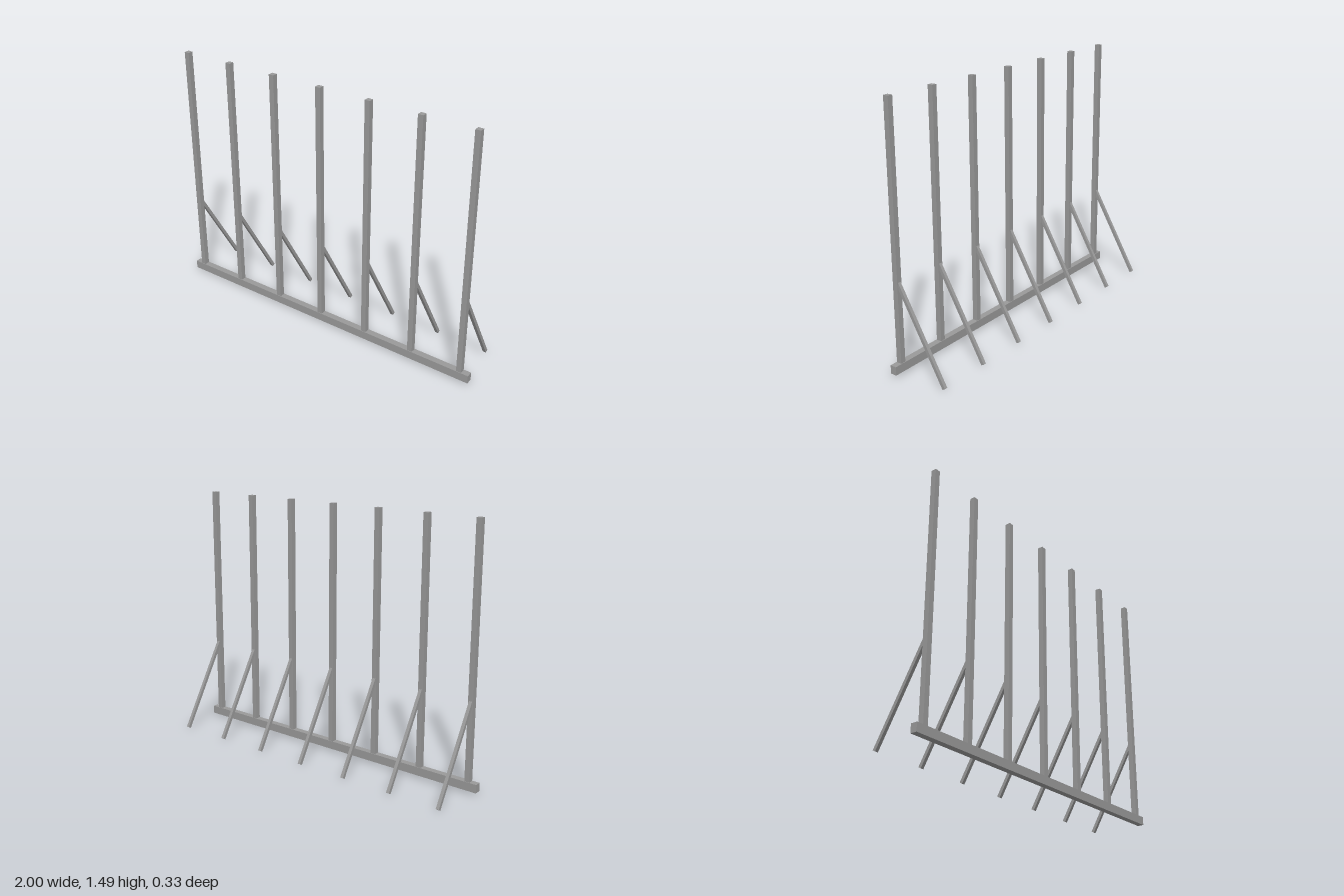
import * as THREE from 'three';

export function createModel() {
  const group = new THREE.Group();
  const material = new THREE.MeshStandardMaterial({ color: 0x999999 });
  const add = (name, geometry, x, y, z) => {
    const mesh = new THREE.Mesh(geometry, material);
    mesh.name = name;
    mesh.position.set(x, y, z);
    group.add(mesh);
    return mesh;
  };

  // Long bottom rail
  const railZ = 0.147;
  add('bottomRail', new THREE.BoxGeometry(2, 0.049, 0.038), 0, 0.0365, railZ);

  // Uprights, each with a square brace sloping to the ground behind
  const bottom = 0.014, top = 1.493;
  const postGeometry = new THREE.BoxGeometry(0.031, top - bottom, 0.031);
  const foot = new THREE.Vector3(0, 0.005, -0.157);
  const head = new THREE.Vector3(0, 0.53, railZ);
  const slope = head.clone().sub(foot);
  const centre = foot.clone().add(head).multiplyScalar(0.5);
  const braceGeometry = new THREE.BoxGeometry(0.019, slope.length(), 0.019);
  const lean = Math.atan2(slope.z, slope.y);

  for (let i = -3; i <= 3; i++) {
    const x = i * 0.3135;
    add('post', postGeometry, x, (top + bottom) / 2, railZ);
    add('brace', braceGeometry, x, centre.y, centre.z).rotation.x = lean;
  }
  return group;
}
